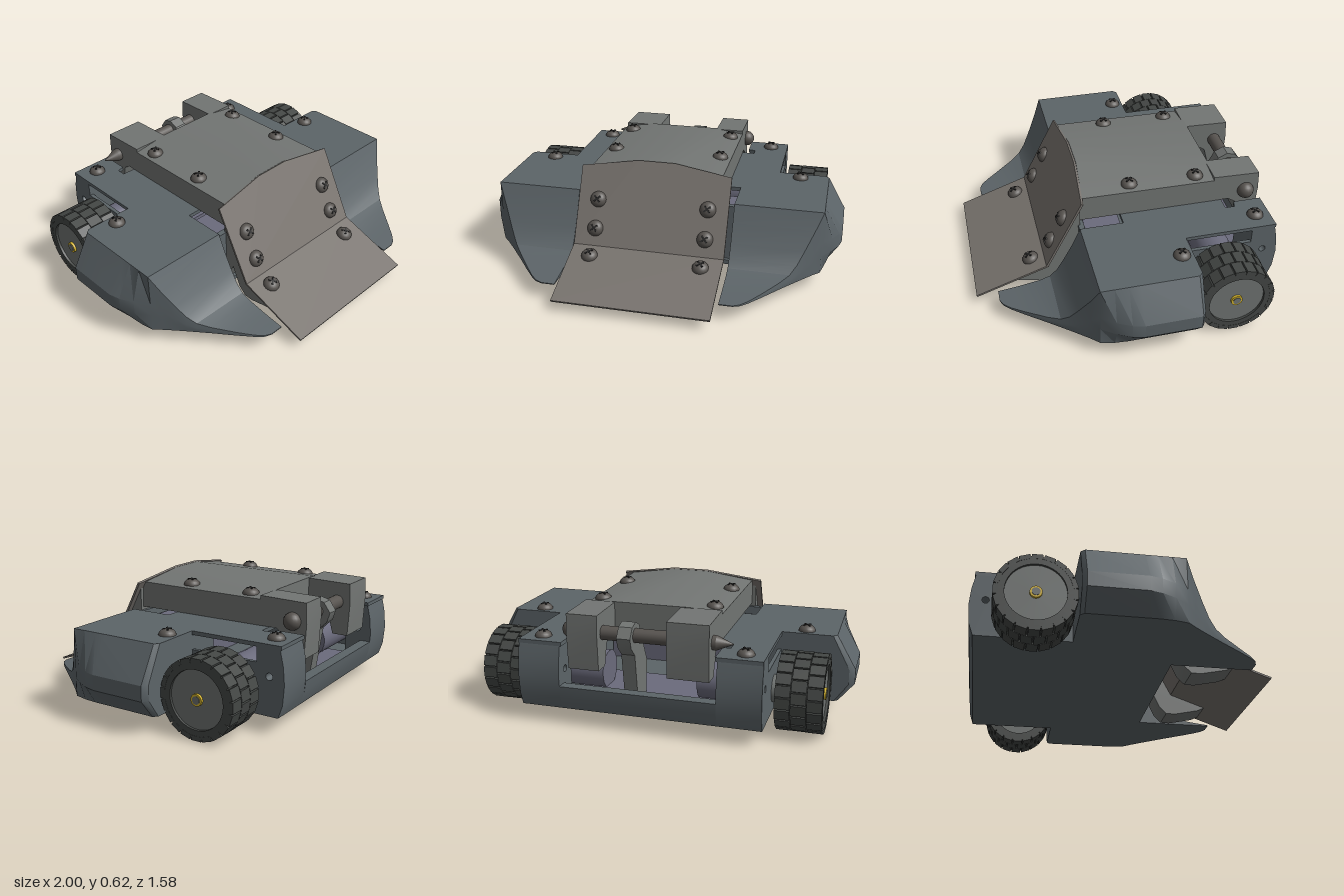
import * as THREE from 'three';
import { toCreasedNormals } from 'three/addons/utils/BufferGeometryUtils.js';

const mat = (color) => new THREE.MeshStandardMaterial({ color });
const M = {
  body: mat(0x5c6468), cover: mat(0x727573), plate: mat(0x77726d), tyre: mat(0x444745),
  hub: mat(0x6f7371), screw: mat(0x57534f), dark: mat(0x222222), brass: mat(0xd6b52c), inner: mat(0x6b6b7c),
};

export function createModel() {
  const root = new THREE.Group();

  const add = (name, geo, material, x = 0, y = 0, z = 0, parent = root) => {
    const mesh = new THREE.Mesh(geo, material);
    mesh.name = name;
    mesh.position.set(x, y, z);
    parent.add(mesh);
    return mesh;
  };

  // box given by its limits
  const box = (name, m, x0, x1, y0, y1, z0, z1, parent) =>
    add(name, new THREE.BoxGeometry(x1 - x0, y1 - y0, z1 - z0), m, (x0 + x1) / 2, (y0 + y1) / 2, (z0 + z1) / 2, parent);

  // cylinder lying along x
  const rod = (name, m, r0, r1, x0, x1, y, z, sides = 24, parent = root) =>
    add(name, new THREE.CylinderGeometry(r1, r0, x1 - x0, sides).rotateZ(-Math.PI / 2), m, (x0 + x1) / 2, y, z, parent);

  // profile of [z, y] points extruded from x0 to x1
  const slab = (name, m, pts, x0, x1, hole) => {
    const shape = new THREE.Shape(pts.map(([z, y]) => new THREE.Vector2(z, y)));
    if (hole) shape.holes.push(new THREE.Path().absarc(hole[0], hole[1], hole[2], 0, Math.PI * 2, true));
    const geo = new THREE.ExtrudeGeometry(shape, { depth: x1 - x0, bevelEnabled: false, curveSegments: 10 });
    geo.rotateY(-Math.PI / 2).translate(x1, 0, 0);
    return add(name, toCreasedNormals(geo, 0.5), m);
  };

  // closed skin over convex sections, counter-clockwise seen from +z, ordered along +z
  const loft = (sections) => {
    const pos = [], n = sections[0].length, last = sections.length - 1;
    for (let i = 0; i < last; i++) {
      for (let j = 0; j < n; j++) {
        const k = (j + 1) % n;
        const a = sections[i][j], b = sections[i][k], c = sections[i + 1][k], d = sections[i + 1][j];
        pos.push(...a, ...b, ...c, ...a, ...c, ...d);
      }
    }
    for (let j = 1; j < n - 1; j++) {
      pos.push(...sections[0][0], ...sections[0][j + 1], ...sections[0][j]);
      pos.push(...sections[last][0], ...sections[last][j], ...sections[last][j + 1]);
    }
    const geo = new THREE.BufferGeometry();
    geo.setAttribute('position', new THREE.Float32BufferAttribute(pos, 3));
    return toCreasedNormals(geo, 0.45);
  };

  // domed screw with a cross recess; tilt leans it towards the front
  const screw = (x, y, z, tilt = 0) => {
    const g = new THREE.Group();
    g.name = 'screw';
    add('screwHead', new THREE.SphereGeometry(0.044, 20, 6, 0, Math.PI * 2, 0, Math.PI / 2).scale(1, 0.75, 1), M.screw, 0, 0, 0, g);
    for (const turn of [0.7, 0.7 + Math.PI / 2]) {
      add('screwSlot', new THREE.BoxGeometry(0.045, 0.006, 0.009), M.dark, 0, 0.0305, 0, g).rotation.y = turn;
    }
    g.position.set(x, y, z);
    g.rotation.x = tilt;
    root.add(g);
  };

  // side pods: [z, top y, top x, widest x, bottom x]
  const podRows = [
    [-0.28, 0.435, 0.88, 0.97, 0.9], [-0.26, 0.435, 0.9, 1, 0.92], [0.03, 0.435, 0.9, 1, 0.92],
    [0.09, 0.435, 0.9, 0.985, 0.92], [0.16, 0.435, 0.9, 0.95, 0.915], [0.23, 0.435, 0.9, 0.9, 0.9],
    [0.27, 0.345, 0.862, 0.864, 0.862], [0.32, 0.25, 0.818, 0.822, 0.82], [0.36, 0.182, 0.784, 0.79, 0.787],
    [0.4, 0.142, 0.752, 0.757, 0.755], [0.46, 0.122, 0.705, 0.708, 0.707], [0.56, 0.105, 0.628, 0.63, 0.63],
    [0.63, 0.096, 0.572, 0.573, 0.573], [0.665, 0.092, 0.535, 0.537, 0.537], [0.68, 0.09, 0.5, 0.5, 0.5],
  ];
  for (const s of [1, -1]) {
    const sections = podRows.map(([z, top, xt, xm, xb]) => {
      const h = top - 0.085;
      const p = [[0.43, 0.085], [xb, 0.085], [xm, 0.085 + h * 0.28], [xm, 0.085 + h * 0.5], [xt, top], [0.43, top]]
        .map(([x, y]) => [s * x, y, z]);
      return s > 0 ? p : p.reverse();
    });
    add('sidePod', loft(sections), M.body);
  }

  // floor, front bulkhead and inner tray
  box('rearFloor', M.body, -0.62, 0.62, 0.085, 0.11, -0.76, -0.28);
  box('frontFloor', M.body, -0.43, 0.43, 0.085, 0.11, -0.28, 0.25);
  box('bulkhead', M.body, -0.43, 0.43, 0.11, 0.42, 0.2, 0.23);
  box('innerTray', M.inner, -0.4, 0.4, 0.11, 0.13, -0.75, -0.27);
  box('battery', M.inner, -0.42, 0.42, 0.11, 0.38, 0, 0.19);

  // bowed rear wall with taller corner blocks
  slab('rearWall', M.body, [[-0.76, 0.085], [-0.73, 0.085], [-0.73, 0.21], [-0.789, 0.21], [-0.782, 0.15]], -0.4, 0.4);
  const corner = [[-0.64, 0.085], [-0.64, 0.415], [-0.765, 0.415], [-0.782, 0.34], [-0.79, 0.25], [-0.782, 0.15], [-0.76, 0.085]];
  for (const s of [1, -1]) {
    const side = (a, b) => (s > 0 ? [a, b] : [-b, -a]);
    slab('rearCorner', M.body, corner, ...side(0.4, 0.62), [-0.71, 0.28, 0.018]);
    box('innerWall', M.body, ...side(0.6, 0.62), 0.085, 0.34, -0.64, -0.28);
    rod('motor', M.inner, 0.1, 0.1, ...side(0.25, 0.6), 0.215, -0.48);
    rod('motorFace', M.brass, 0.06, 0.06, ...side(0.6, 0.63), 0.2, -0.48);
  }

  // top deck with a rear opening
  const deck = new THREE.Shape([
    [-0.62, 0.77], [-0.62, 0.27], [-0.45, 0.27], [-0.45, 0], [-0.36, 0], [0.36, 0], [0.45, 0], [0.45, 0.27],
    [0.62, 0.27], [0.62, 0.77], [0.39, 0.77], [0.39, 0.62], [0.43, 0.61], [0.43, 0.56], [-0.43, 0.56], [-0.43, 0.61], [-0.39, 0.62], [-0.39, 0.77],
  ].map(([x, y]) => new THREE.Vector2(x, y)));
  add('deck', new THREE.ExtrudeGeometry(deck, { depth: 0.02, bevelEnabled: false }).rotateX(-Math.PI / 2), M.body, 0, 0.415, 0);

  // crowned cover; the front end leans back with the scoop
  const coverSection = (edge, crownX, crownY, z) =>
    [[-0.36, 0.437], [0.36, 0.437], [0.36, edge], [crownX, crownY], [-crownX, crownY], [-0.36, edge]].map(([x, y]) => [x, y, z(y)]);
  add('cover', loft([coverSection(0.57, 0.2, 0.593, () => -0.52), coverSection(0.575, 0.1, 0.617, (y) => 0.18 + (0.62 - y) * 0.51)]), M.cover);

  // hooked rear arms either side of the slot
  const arm = [[-0.51, 0.437], [-0.51, 0.59], [-0.76, 0.583], [-0.765, 0.48], [-0.755, 0.3], [-0.67, 0.3], [-0.64, 0.41], [-0.6, 0.437]];
  slab('rearArm', M.cover, arm, 0.2, 0.36);
  slab('rearArm', M.cover, arm, -0.36, -0.15);

  // pivot shaft with pointed end, round head and centre lug
  rod('pivotShaft', M.screw, 0.036, 0.036, -0.38, 0.37, 0.48, -0.69);
  rod('shaftTip', M.screw, 0.002, 0.036, -0.46, -0.38, 0.48, -0.69);
  add('shaftHead', new THREE.SphereGeometry(0.045, 20, 12), M.screw, 0.365, 0.485, -0.69);
  slab('centreLug', M.cover, [[-0.54, 0.12], [-0.52, 0.3], [-0.63, 0.52], [-0.68, 0.545], [-0.73, 0.53], [-0.765, 0.48], [-0.75, 0.43], [-0.7, 0.38], [-0.66, 0.12]], 0.03, 0.1);

  // bent front scoop
  const scoop = new THREE.Shape([[-0.41, 0], [0.41, 0], [0.41, 0.43], [0.1, 0.48], [-0.1, 0.48], [-0.41, 0.43]].map(([x, y]) => new THREE.Vector2(x, y)));
  add('scoopUpper', new THREE.ExtrudeGeometry(scoop, { depth: 0.012, bevelEnabled: false }), M.plate, 0, 0.19, 0.402).rotation.x = -0.473;
  add('scoopLower', new THREE.BoxGeometry(0.82, 0.01, 0.415), M.plate, 0, 0.126, 0.597).rotation.x = 0.337;

  // ribs behind the scoop
  const rib = [[0.22, 0.09], [0.22, 0.54], [0.4, 0.19], [0.6, 0.12], [0.56, 0.1], [0.42, 0.07], [0.37, 0.072], [0.33, 0.11], [0.28, 0.22]];
  slab('scoopRib', M.cover, rib, 0.22, 0.38);
  slab('scoopRib', M.cover, rib, -0.38, -0.22);

  // screws on both sides
  for (const s of [1, -1]) {
    screw(s * 0.74, 0.434, -0.22);
    screw(s * 0.52, 0.434, -0.69);
    screw(s * 0.3, 0.576, -0.42);
    screw(s * 0.3, 0.58, -0.06);
    screw(s * 0.3, 0.42, 0.299, 1.098);
    screw(s * 0.3, 0.28, 0.37, 1.098);
    screw(s * 0.3, 0.172, 0.484, 0.337);
  }

  // wheels with staggered tread blocks and a recessed hub
  for (const s of [1, -1]) {
    const wheel = new THREE.Group();
    wheel.name = 'wheel';
    wheel.position.set(s * 0.77, 0.2, -0.48);
    root.add(wheel);
    const ring = [[0.145, -0.113], [0.187, -0.113], [0.187, 0.113], [0.145, 0.113], [0.145, -0.113]].map(([r, y]) => new THREE.Vector2(r, y));
    add('tyre', toCreasedNormals(new THREE.LatheGeometry(ring, 40).rotateZ(-Math.PI / 2), 0.5), M.tyre, 0, 0, 0, wheel);
    rod('hub', M.hub, 0.146, 0.146, -0.1, 0.1, 0, 0, 40, wheel);
    rod('axle', M.brass, 0.03, 0.03, -0.112, 0.112, 0, 0, 16, wheel);
    rod('axleCore', M.hub, 0.02, 0.02, -0.115, 0.115, 0, 0, 16, wheel);
    for (let row = 0; row < 3; row++) {
      for (let i = 0; i < 20; i++) {
        const a = ((i + (row % 2) / 2) / 20) * Math.PI * 2;
        const block = box('treadBlock', M.tyre, -0.037, 0.037, -0.012, 0.012, -0.027, 0.027, wheel);
        block.position.set((row - 1) * 0.077, Math.cos(a) * 0.185, Math.sin(a) * 0.185);
        block.rotation.x = a;
      }
    }
    rod('axleCollar', M.hub, 0.07, 0.07, s > 0 ? 0.62 : -0.68, s > 0 ? 0.68 : -0.62, 0.2, -0.48);
  }

  return root;
}
